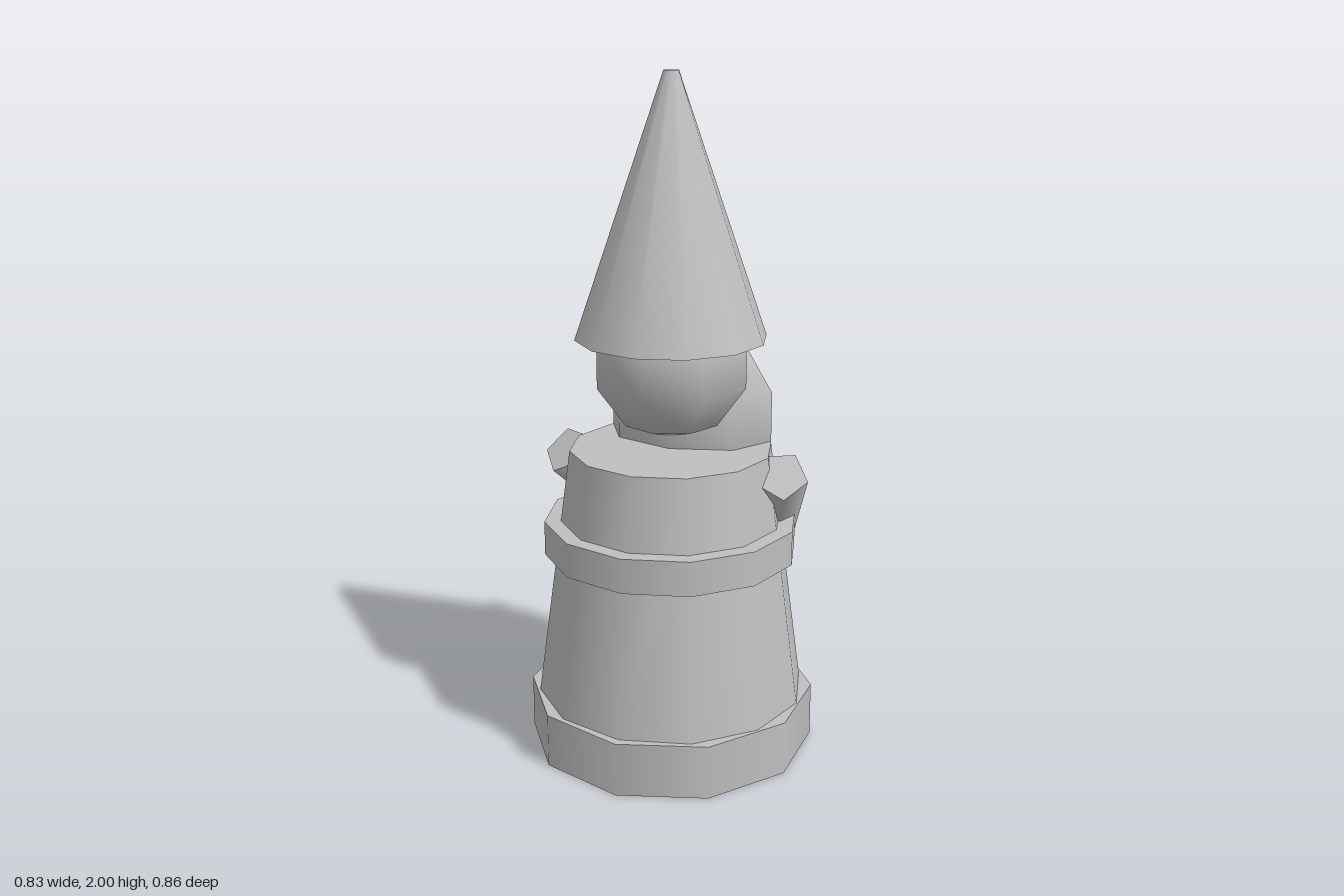
import * as THREE from 'three';

export function createModel() {
  const group = new THREE.Group();
  const stone = new THREE.MeshStandardMaterial({ color: 0xbfbfbf });
  stone.name = 'stone grey';

  function add(name, geometry, x = 0, y = 0, z = 0) {
    const mesh = new THREE.Mesh(geometry, stone);
    mesh.name = name;
    mesh.position.set(x, y, z);
    group.add(mesh);
    return mesh;
  }

  // Upright drum or cone between two heights
  function drum(name, rTop, rBottom, y0, y1, sides) {
    add(name, new THREE.CylinderGeometry(rTop, rBottom, y1 - y0, sides), 0, (y0 + y1) / 2, 0);
  }

  // Stacked base, coat, belt and pointed hat
  drum('base', 0.43, 0.43, 0, 0.163, 10);
  drum('coat', 0.3, 0.405, 0.15, 0.92, 12);
  drum('belt', 0.378, 0.378, 0.602, 0.705, 12);
  drum('hat', 0.022, 0.28, 1.25, 2, 12);

  // Head, with the beard and nose on the -z side
  add('head', new THREE.SphereGeometry(0.242, 8, 5), 0, 1.195, 0);
  add('beard', new THREE.SphereGeometry(1, 8, 5).scale(0.27, 0.317, 0.19), 0, 0.972, -0.16);
  add('nose', new THREE.SphereGeometry(0.077, 5, 4, -Math.PI / 2), 0, 1.182, -0.254);

  // Five-sided arms slanting from the sides down to the front of the belt
  for (const side of [-1, 1]) {
    const upper = new THREE.Vector3(side * 0.341, 0.872, 0);
    const lower = new THREE.Vector3(side * 0.232, 0.596, -0.275);
    const along = upper.clone().sub(lower);
    const length = along.length();
    along.normalize();
    const outward = new THREE.Vector3(side, 0, 0);
    outward.addScaledVector(along, -outward.dot(along)).normalize();
    const across = new THREE.Vector3().crossVectors(along, outward);
    const arm = add(side > 0 ? 'leftArm' : 'rightArm', new THREE.CylinderGeometry(0.078, 0.064, length, 5));
    arm.quaternion.setFromRotationMatrix(new THREE.Matrix4().makeBasis(across, along, outward));
    arm.position.copy(upper).add(lower).multiplyScalar(0.5);
  }

  return group;
}
